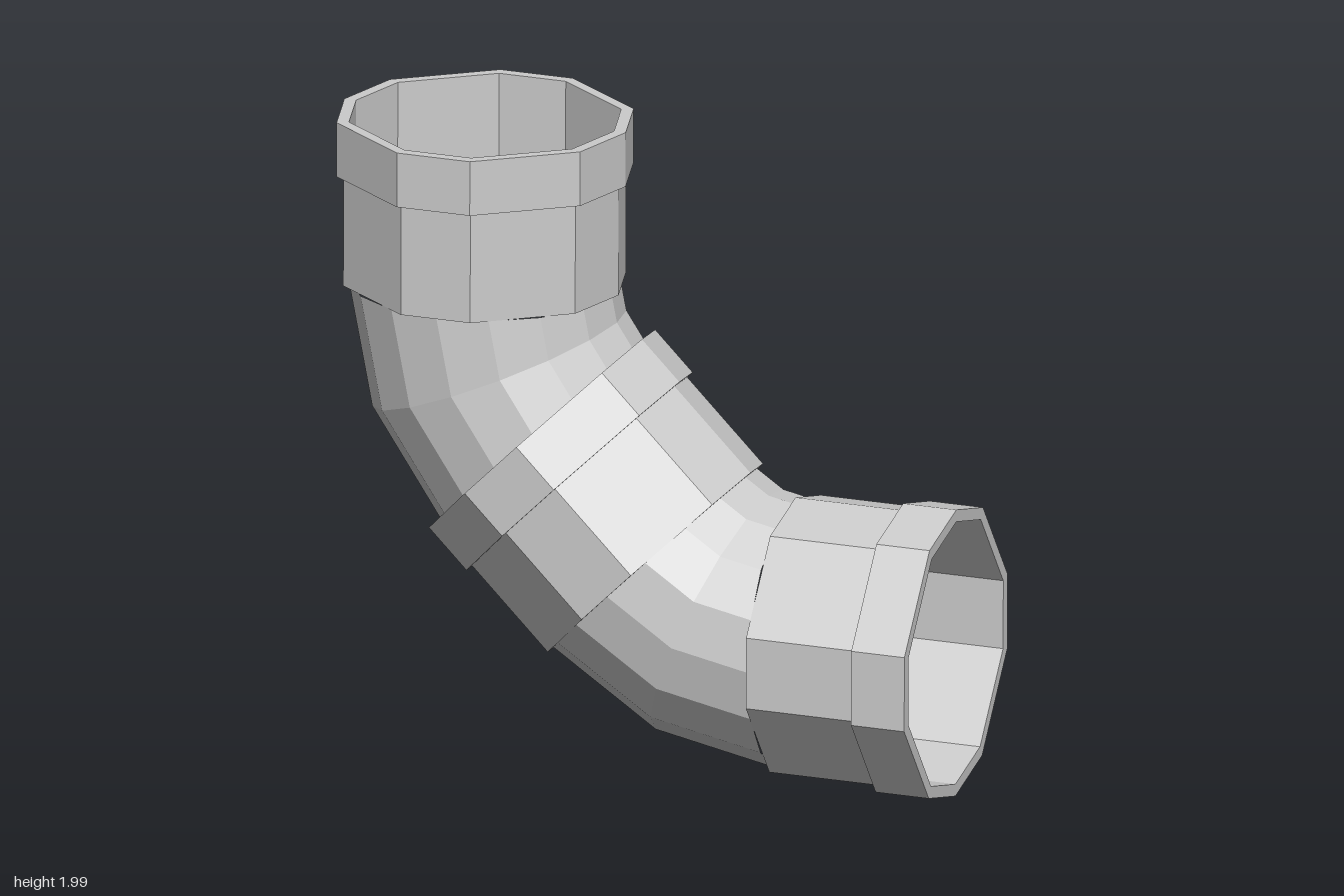
import * as THREE from 'three';

const DEG = Math.PI / 180;
const PIPE_R = 0.411, BORE_R = 0.417, SOCKET_R = 0.433, COLLAR_R = 0.455;
const SOCKET_LEN = 0.52, COLLAR_LEN = 0.172, BEND_R = 0.64;

// Sockets are ten-sided with flat faces front and back; elbows are rounder, with sixteen sides
const SOCKET_ANGLES = [-15, 15, 60, 90, 120, 165, 195, 240, 270, 300].map(a => a * DEG);
const ELBOW_ANGLES = Array.from({ length: 16 }, (_, i) => i * 22.5 * DEG);

const material = new THREE.MeshStandardMaterial({ color: 0xcccccc, flatShading: true });

// Skins a run of rings { x, y, turn, r }; turn 0 heads straight down, 90 heads to +x
function loft(name, angles, rings) {
  const positions = [], index = [], n = angles.length;
  for (const { x, y, turn, r } of rings) {
    const c = Math.cos(turn * DEG), s = Math.sin(turn * DEG);
    for (const a of angles) {
      const side = r * Math.sin(a);
      positions.push(x + c * side, y + s * side, r * Math.cos(a));
    }
  }
  for (let j = 0; j < rings.length - 1; j++) {
    for (let i = 0; i < n; i++) {
      const a = j * n + i, b = j * n + (i + 1) % n;
      index.push(a, a + n, b + n, a, b + n, b);
    }
  }
  const geometry = new THREE.BufferGeometry();
  geometry.setAttribute('position', new THREE.Float32BufferAttribute(positions, 3));
  geometry.setIndex(index);
  const flat = geometry.toNonIndexed();
  flat.computeVertexNormals();
  const mesh = new THREE.Mesh(flat, material);
  mesh.name = name;
  return mesh;
}

// Socket with a thicker collar at its mouth; profile runs floor, bore, rim, collar, body, ledge
function socket(name, x, y, turn) {
  const profile = [
    [SOCKET_LEN, 0], [SOCKET_LEN, BORE_R], [0, BORE_R], [0, COLLAR_R], [COLLAR_LEN, COLLAR_R],
    [COLLAR_LEN, SOCKET_R], [SOCKET_LEN, SOCKET_R], [SOCKET_LEN, PIPE_R - 0.03],
  ];
  const dx = Math.sin(turn * DEG), dy = -Math.cos(turn * DEG);
  return loft(name, SOCKET_ANGLES,
    profile.map(([d, r]) => ({ x: x + dx * d, y: y + dy * d, turn, r })));
}

// 45 degree bend in two steps around a centre, with an optional straight spigot
function elbow(name, cx, cy, startTurn, spigot) {
  const rings = [0, 22.5, 45].map(step => {
    const turn = startTurn + step;
    return {
      x: cx - BEND_R * Math.cos(turn * DEG),
      y: cy - BEND_R * Math.sin(turn * DEG),
      turn, r: PIPE_R,
    };
  });
  if (spigot) {
    const end = rings[2];
    rings.push({
      ...end,
      x: end.x + spigot * Math.sin(end.turn * DEG),
      y: end.y - spigot * Math.cos(end.turn * DEG),
    });
  }
  return loft(name, ELBOW_ANGLES, rings);
}

export function createModel() {
  const pipe = new THREE.Group();
  pipe.name = 'pipeBend';
  const k = Math.SQRT1_2;

  // Upper fitting, from the open top down into the coupling
  const topX = -0.546, topY = 1.98;
  const c1x = topX + BEND_R, c1y = topY - SOCKET_LEN;
  pipe.add(socket('topSocket', topX, topY, 0));
  pipe.add(elbow('upperElbow', c1x, c1y, 0, 0.1));

  // Slanted coupling socket
  const midX = c1x - BEND_R * k, midY = c1y - BEND_R * k;
  pipe.add(socket('middleSocket', midX, midY, 45));

  // Lower elbow, ending in the sideways socket
  const lowX = midX + SOCKET_LEN * k, lowY = midY - SOCKET_LEN * k;
  const c2x = lowX + BEND_R * k, c2y = lowY + BEND_R * k;
  pipe.add(elbow('lowerElbow', c2x, c2y, 45, 0));
  pipe.add(socket('sideSocket', c2x + SOCKET_LEN, c2y - BEND_R, -90));

  // Slight lean of the whole bend about its middle
  for (const part of pipe.children) part.geometry.translate(0, -1, 0);
  pipe.position.set(0, 1, -0.005);
  pipe.rotation.set(-0.01, -0.053, 0);

  const model = new THREE.Group();
  model.name = 'pipeModel';
  model.add(pipe);
  return model;
}
